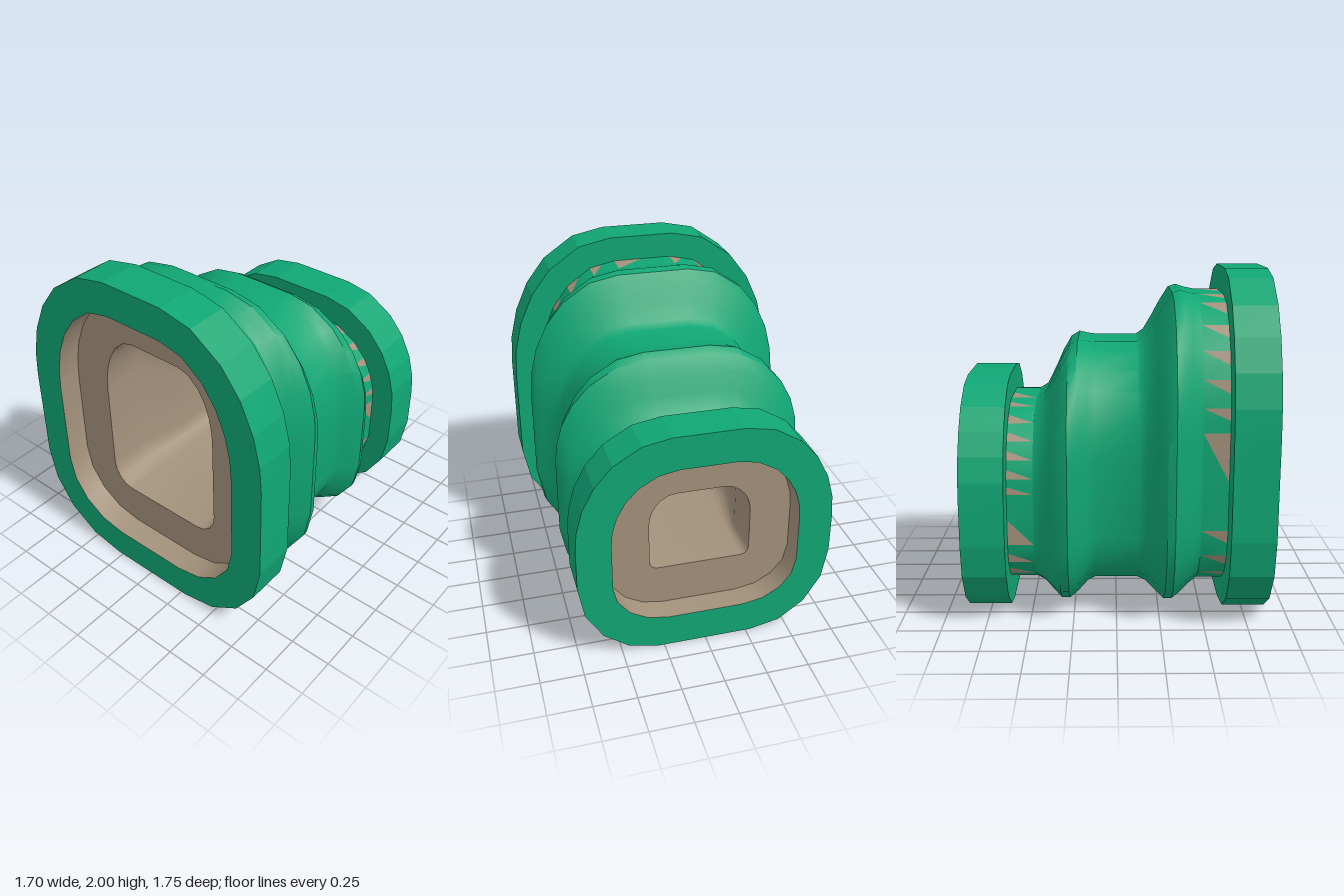
import * as THREE from 'three';
import { toCreasedNormals } from 'three/addons/utils/BufferGeometryUtils.js';

const green = new THREE.MeshStandardMaterial({ color: 0x10a674 });
green.name = 'green rubber';
const tan = new THREE.MeshStandardMaterial({ color: 0xa3917b });
tan.name = 'tan liner';

const BOTTOM = [0, 22.5, 45, 67.5, 90];
const TOP = [0, 11, 24, 38, 53, 72, 90];
const rad = THREE.MathUtils.degToRad;

// Rounded arch outline at depth z, counter-clockwise seen from the front.
// w: half width, y0..y1: height, bx/tx: half of the flat bottom/top, s0..s1: straight sides
function ring(z, [w, y0, y1, bx, s0, s1, tx]) {
  const right = [];
  for (const a of BOTTOM)
    right.push([bx + (w - bx) * Math.sin(rad(a)), s0 - (s0 - y0) * Math.cos(rad(a))]);
  for (const a of TOP)
    right.push([tx + (w - tx) * Math.cos(rad(a)), s1 + (y1 - s1) * Math.sin(rad(a))]);
  const left = right.map(([x, y]) => [-x, y]).reverse();
  return [...right, ...left].map(([x, y]) => new THREE.Vector3(x, y, z));
}

// Outline of the bellows, with corners in proportion to the size
const bodyRing = (z, w, y0, y1) =>
  ring(z, [w, y0, y1, 0.37 * w, 0.155 + 0.25 * (y1 - 0.155), 0.155 + 0.575 * (y1 - 0.155), 0.275 * w]);

function meshFrom(name, points, material, crease) {
  let geometry = new THREE.BufferGeometry().setFromPoints(points);
  geometry.computeVertexNormals();
  geometry = toCreasedNormals(geometry, crease);
  const mesh = new THREE.Mesh(geometry, material);
  mesh.name = name;
  return mesh;
}

// Skin through rings of equal point count
function loft(name, rings, material, crease) {
  const points = [];
  for (let k = 0; k < rings.length - 1; k++) {
    const f = rings[k], b = rings[k + 1];
    f.forEach((p, i) => {
      const j = (i + 1) % f.length;
      points.push(p, b[i], b[j], p, b[j], f[j]);
    });
  }
  return meshFrom(name, points, material, crease);
}

// Neck band: each facet is green with one tan tooth growing from the flange side
function neck(name, front, back, baseAtFront) {
  const greenPts = [], tanPts = [];
  front.forEach((af, i) => {
    const j = (i + 1) % front.length;
    const ab = back[i], bf = front[j], bb = back[j];
    if (baseAtFront) {
      const m = af.clone().lerp(bf, 0.5);
      tanPts.push(af, ab, m);
      greenPts.push(m, ab, bb, m, bb, bf);
    } else {
      const m = ab.clone().lerp(bb, 0.5);
      tanPts.push(m, bb, bf);
      greenPts.push(af, ab, m, af, m, bf);
    }
  });
  const group = new THREE.Group();
  group.name = name;
  group.add(meshFrom(name + 'Band', greenPts, green, 0.5), meshFrom(name + 'Teeth', tanPts, tan, 0.5));
  return group;
}

export function createModel() {
  const model = new THREE.Group();
  model.name = 'bellowsConnector';

  // Outlines: flange rims, flange openings and the tunnel
  const frontRim = [0.85, 0, 2, 0.28, 0.56, 1.14, 0.2];
  const frontOpening = [0.65, 0.2, 1.8, 0.24, 0.59, 1.13, 0.19];
  const backRim = [0.745, 0, 1.38, 0.28, 0.5, 0.75, 0.2];
  const backOpening = [0.545, 0.2, 1.18, 0.22, 0.47, 0.76, 0.16];
  const frontTunnel = [0.4, 0.45, 1.555, 0.27, 0.6, 1.15, 0.17];
  const midTunnel = [0.37, 0.45, 1.29, 0.27, 0.55, 0.95, 0.16];
  const backTunnel = [0.3, 0.45, 0.94, 0.25, 0.5, 0.75, 0.14];

  const frontNeck = [0.69, 0.155, 1.85, 0.25, 0.575, 1.14, 0.18];
  const backNeck = [0.6, 0.155, 1.23, 0.22, 0.46, 0.76, 0.16];

  // Flanges
  model.add(loft('frontFlange', [
    ring(0.875, frontOpening), ring(0.875, frontRim), ring(0.625, frontRim), ring(0.625, frontNeck),
  ], green, 0.1));
  model.add(loft('backFlange', [
    ring(-0.625, backNeck), ring(-0.625, backRim), ring(-0.875, backRim), ring(-0.875, backOpening),
  ], green, 0.1));

  // Necks between flanges and bellows
  model.add(neck('frontNeck', ring(0.625, frontNeck), ring(0.475, frontNeck), true));
  model.add(neck('backNeck', ring(-0.475, backNeck), ring(-0.625, backNeck), false));

  // Bellows with two ridges around a valley: z, half width, bottom, top
  const bellows = [
    [0.42, 0.725, 0.115, 1.86], [0.37, 0.77, 0.07, 1.875], [0.325, 0.795, 0.037, 1.86],
    [0.28, 0.785, 0.037, 1.79], [0.23, 0.73, 0.08, 1.7], [0.17, 0.665, 0.135, 1.6],
    [0.125, 0.645, 0.155, 1.57], [-0.125, 0.645, 0.155, 1.57], [-0.17, 0.665, 0.135, 1.575],
    [-0.225, 0.72, 0.08, 1.585], [-0.275, 0.745, 0.037, 1.555], [-0.325, 0.73, 0.037, 1.47],
    [-0.37, 0.685, 0.08, 1.37], [-0.425, 0.62, 0.135, 1.26],
  ].map((s) => bodyRing(...s));
  model.add(loft('bellows', [
    ring(0.475, frontNeck), ...bellows, ring(-0.475, backNeck),
  ], green, 0.6));

  // Liner: recessed faces at both ends and the stepped tunnel between them
  model.add(loft('liner', [
    ring(-0.875, backOpening), ring(-0.73, backOpening),
    ring(-0.73, backTunnel), ring(-0.47, backTunnel),
    ring(-0.12, midTunnel), ring(0.13, midTunnel),
    ring(0.47, frontTunnel), ring(0.73, frontTunnel),
    ring(0.73, frontOpening), ring(0.875, frontOpening),
  ], tan, 0.85));

  return model;
}
